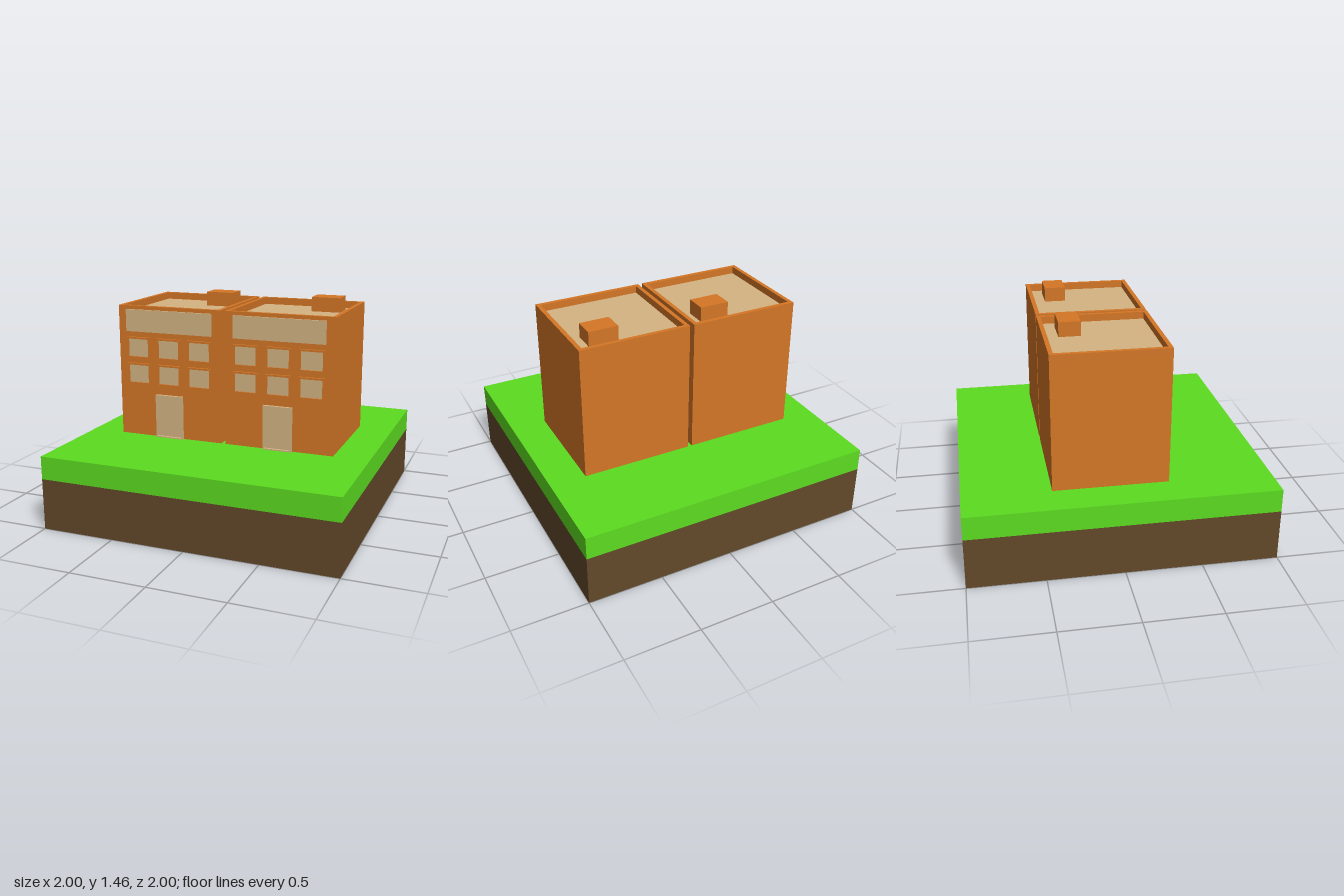
import * as THREE from 'three';

const paint = (color) => new THREE.MeshStandardMaterial({ color });
const ORANGE = paint(0xd47626);
const TAN = paint(0xd4b483);
const GREEN = paint(0x5cdc20);
const BROWN = paint(0x624829);

const GROUND = 0.5, ROOF = 1.355, TOP = 1.405; // heights
const WIDTH = 0.75, FRONT = 0.32, MID_Z = -0.055; // building footprint

// Box given by its centre in x and z and its bottom and top heights
function block(name, material, w, d, x, y0, y1, z) {
  const mesh = new THREE.Mesh(new THREE.BoxGeometry(w, y1 - y0, d), material);
  mesh.name = name;
  mesh.position.set(x, (y0 + y1) / 2, z);
  return mesh;
}

// Rectangular frame with an open middle, extruded along +z from z = 0
function frame(name, material, w, h, rim, depth) {
  const rect = (Type, a, b) => new Type([
    new THREE.Vector2(-a, -b), new THREE.Vector2(a, -b),
    new THREE.Vector2(a, b), new THREE.Vector2(-a, b),
  ]);
  const shape = rect(THREE.Shape, w / 2, h / 2);
  shape.holes.push(rect(THREE.Path, w / 2 - rim, h / 2 - rim));
  const mesh = new THREE.Mesh(new THREE.ExtrudeGeometry(shape, { depth, bevelEnabled: false }), material);
  mesh.name = name;
  return mesh;
}

// Framed panel standing proud of the front wall
function framedPanel(name, frameMaterial, w, h, rim, depth, x, y) {
  const group = new THREE.Group();
  group.name = name;
  group.position.set(x, y, FRONT);
  const pane = new THREE.Mesh(new THREE.PlaneGeometry(w - 2 * rim, h - 2 * rim), TAN);
  pane.name = name + 'Panel';
  pane.position.z = 0.004;
  group.add(frame(name + 'Frame', frameMaterial, w, h, rim, depth), pane);
  return group;
}

function createBuilding(name, x) {
  const building = new THREE.Group();
  building.name = name;
  building.position.x = x;

  // Walls, parapet and sunken roof
  building.add(block('walls', ORANGE, WIDTH, WIDTH, 0, GROUND, ROOF, MID_Z));
  const parapet = frame('parapet', ORANGE, WIDTH, WIDTH, 0.028, TOP - ROOF);
  parapet.rotation.x = -Math.PI / 2;
  parapet.position.set(0, ROOF, MID_Z);
  building.add(parapet);
  building.add(block('roof', TAN, WIDTH - 0.056, WIDTH - 0.056, 0, ROOF - 0.01, ROOF + 0.002, MID_Z));
  building.add(block('chimney', ORANGE, 0.2, 0.145, 0.166, ROOF, 1.455, -0.247));

  // Front: blank sign board, two rows of windows, door
  building.add(block('signBoard', TAN, 0.626, 0.016, -0.002, 1.23, 1.38, FRONT + 0.008));
  for (const y of [1.118, 0.937]) {
    for (const column of [-1, 0, 1]) {
      building.add(framedPanel('window', ORANGE, 0.172, 0.146, 0.012, 0.016, column * 0.225 - 0.003, y));
    }
  }
  building.add(framedPanel('door', TAN, 0.198, 0.3, 0.008, 0.022, -0.003, GROUND + 0.15));
  return building;
}

export function createModel() {
  const model = new THREE.Group();
  model.name = 'twinBuildings';
  model.add(block('soil', BROWN, 2, 2, 0, 0, 0.345, 0));
  model.add(block('grass', GREEN, 2, 2, 0, 0.345, GROUND, 0));
  model.add(createBuilding('rightBuilding', -0.395));
  model.add(createBuilding('leftBuilding', 0.385));
  return model;
}
